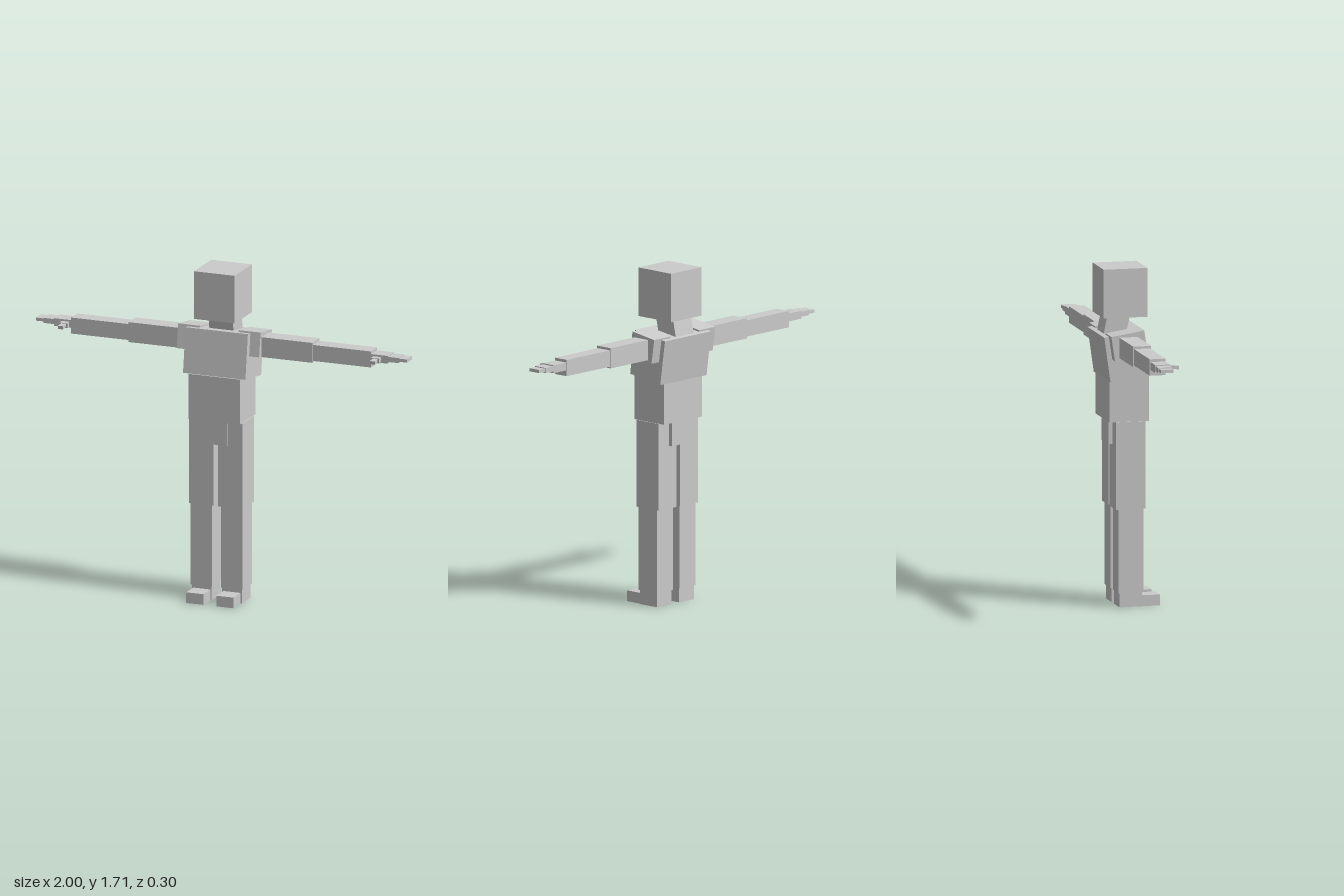
import * as THREE from 'three';

const material = new THREE.MeshStandardMaterial({ color: 0xcccccc, flatShading: true });

// Box from its extents on each axis, optionally tilted about x
function block(name, [x0, x1], [y0, y1], [z0, z1], tilt = 0) {
  const mesh = new THREE.Mesh(new THREE.BoxGeometry(x1 - x0, y1 - y0, z1 - z0), material);
  mesh.name = name;
  mesh.position.set((x0 + x1) / 2, (y0 + y1) / 2, (z0 + z1) / 2);
  mesh.rotation.x = tilt;
  return mesh;
}

export function createModel() {
  const model = new THREE.Group();
  model.name = 'blockFigure';

  // Head and trunk
  model.add(
    block('head', [-0.11, 0.11], [1.458, 1.705], [-0.135, 0.09]),
    block('neck', [-0.065, 0.065], [1.345, 1.475], [-0.115, -0.001], 0.21),
    block('chest', [-0.168, 0.168], [1.157, 1.387], [-0.132, 0.076], -0.14),
    block('waist', [-0.138, 0.138], [0.937, 1.17], [-0.113, 0.09]),
    block('pelvis', [-0.067, 0.067], [0.815, 0.937], [-0.1, 0.08])
  );

  // Limb parts of the left side: name, x, y, z extents, tilt
  const parts = [
    ['Shoulder', [0.104, 0.222], [1.27, 1.395], [-0.116, 0.034], -0.15],
    ['UpperArm', [0.2, 0.495], [1.275, 1.378], [-0.083, 0.01]],
    ['Forearm', [0.495, 0.808], [1.283, 1.366], [-0.078, 0.003]],
    ['Palm', [0.808, 0.9], [1.312, 1.352], [-0.074, 0.001]],
    ['Fingers', [0.9, 0.957], [1.321, 1.347], [-0.073, 0]],
    ['Fingertips', [0.957, 1], [1.327, 1.343], [-0.07, -0.004]],
    ['ThumbBase', [0.818, 0.861], [1.317, 1.342], [-0.015, 0.024], 0.1],
    ['ThumbTip', [0.826, 0.853], [1.319, 1.336], [0.02, 0.061], 0.1],
    ['Thigh', [0.013, 0.143], [0.495, 0.937], [-0.08, 0.071]],
    ['Shin', [0.023, 0.139], [0.072, 0.495], [-0.066, 0.061]],
    ['Heel', [0.028, 0.134], [0, 0.072], [-0.06, 0.056]],
    ['Toes', [0.035, 0.128], [0, 0.055], [0.056, 0.149]]
  ];

  // Both sides, mirrored across x
  for (const [side, s] of [['left', 1], ['right', -1]]) {
    for (const [name, x, y, z, tilt] of parts) {
      const mesh = block(side + name, x, y, z, tilt);
      mesh.position.x *= s;
      model.add(mesh);
    }
  }
  return model;
}
